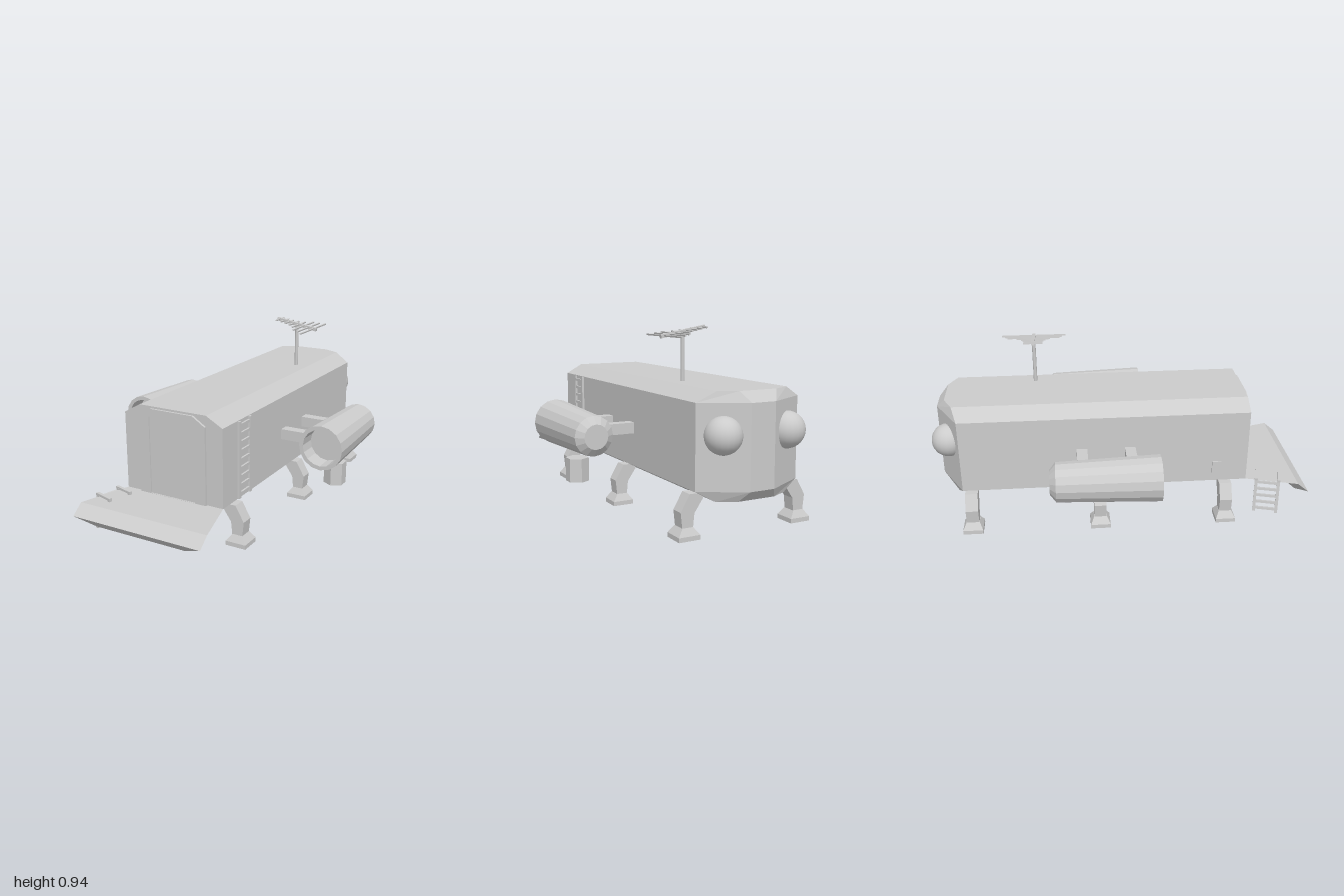
import * as THREE from 'three';

const grey = new THREE.MeshStandardMaterial({ color: 0xcccccc, flatShading: true });
const smooth = new THREE.MeshStandardMaterial({ color: 0xcccccc });

function add(parent, name, geometry, x = 0, y = 0, z = 0, material = grey) {
  const mesh = new THREE.Mesh(geometry, material);
  mesh.name = name;
  mesh.position.set(x, y, z);
  parent.add(mesh);
  return mesh;
}

const box = (w, h, d) => new THREE.BoxGeometry(w, h, d);

// Solid skinned over rings of [x, y, z] points, closed with a fan at each end
function loft(rings) {
  const pos = [];
  const tri = (a, b, c) => pos.push(...a, ...b, ...c);
  const n = rings[0].length;
  for (let r = 0; r < rings.length - 1; r++) {
    for (let i = 0; i < n; i++) {
      const j = (i + 1) % n;
      tri(rings[r][i], rings[r][j], rings[r + 1][j]);
      tri(rings[r][i], rings[r + 1][j], rings[r + 1][i]);
    }
  }
  const first = rings[0], last = rings[rings.length - 1];
  for (let i = 1; i < n - 1; i++) {
    tri(first[0], first[i + 1], first[i]);
    tri(last[0], last[i], last[i + 1]);
  }
  const g = new THREE.BufferGeometry();
  g.setAttribute('position', new THREE.Float32BufferAttribute(pos, 3));
  g.computeVertexNormals();
  return g;
}

const FRONT = 0.67;

// Plan of the hull: square front, three-sided back
function hullRing(y, side, sideZ, back, backZ) {
  return [[-side, FRONT], [side, FRONT], [side, sideZ], [back, backZ], [-back, backZ], [-side, sideZ]]
    .map(([x, z]) => [x, y, z]);
}

function rectRing(y, hx, hz) {
  return [[-hx, y, hz], [hx, y, hz], [hx, y, -hz], [-hx, y, -hz]];
}

// Four-sided section of the deck, underside narrower than the top
function deckRing(top, topY, topZ, bottom, bottomY, bottomZ) {
  return [[-bottom, bottomY, bottomZ], [bottom, bottomY, bottomZ], [top, topY, topZ], [-top, topY, topZ]];
}

function extrude(points, depth, holePoints) {
  const shape = new THREE.Shape(points.map(p => new THREE.Vector2(...p)));
  if (holePoints) shape.holes.push(new THREE.Path(holePoints.map(p => new THREE.Vector2(...p))));
  return new THREE.ExtrudeGeometry(shape, { depth, bevelEnabled: false });
}

// Ladder standing on y = 0, rungs along z
function ladder(name, width, height, rungs, t) {
  const g = new THREE.Group();
  g.name = name;
  for (const s of [-1, 1]) add(g, 'ladderRail', box(t, height, t), 0, height / 2, s * (width - t) / 2);
  for (let i = 0; i < rungs; i++) {
    add(g, 'ladderRung', box(t * 0.8, t * 0.8, width - t), 0, height * (i + 0.5) / rungs, 0);
  }
  return g;
}

export function createModel() {
  const model = new THREE.Group();
  model.name = 'cabinOnLegs';

  // Hull with chamfered roof, floor and back
  add(model, 'hull', loft([
    hullRing(0.17, 0.19, -0.88, 0.1, -0.925),
    hullRing(0.22, 0.28, -0.85, 0.065, -0.97),
    hullRing(0.62, 0.28, -0.85, 0.065, -0.97),
    hullRing(0.67, 0.19, -0.88, 0.1, -0.925),
  ]));

  // Front deck with a drooping lip
  add(model, 'frontDeck', loft([
    deckRing(0.28, 0.22, FRONT, 0.19, 0.17, FRONT),
    deckRing(0.36, 0.22, 0.94, 0.25, 0.17, 0.91),
    deckRing(0.36, 0.17, 1.0, 0.25, 0.125, 0.96),
  ]));

  // Door and its frame
  add(model, 'doorFrame', extrude(
    [[-0.19, 0.22], [0.19, 0.22], [0.19, 0.615], [0.12, 0.66], [-0.12, 0.66], [-0.19, 0.615]], 0.012,
    [[-0.13, 0.221], [-0.13, 0.62], [0.13, 0.62], [0.13, 0.221]]), 0, 0, FRONT);
  add(model, 'door', box(0.26, 0.4, 0.008), 0, 0.42, FRONT + 0.001);

  // Round bulges on the two slanted back faces
  for (const s of [-1, 1]) {
    add(model, 'backDome', new THREE.SphereGeometry(0.088, 20, 14), s * 0.173, 0.475, -0.91, smooth);
  }

  // Side pods, open at the front, on two struts each
  const podProfile = [[0, -0.275], [0.062, -0.275], [0.1, -0.245], [0.118, 0.275], [0.097, 0.275], [0.095, 0.18], [0, 0.18]]
    .map(p => new THREE.Vector2(...p));
  const podGeometry = new THREE.LatheGeometry(podProfile, 16);
  for (const s of [-1, 1]) {
    add(model, 'sidePod', podGeometry, s * 0.55, 0.415, -0.11).rotation.x = Math.PI / 2;
    for (const z of [-0.215, 0.038]) {
      add(model, 'podStrut', box(0.2, 0.056, 0.056), s * 0.37, 0.417, z);
    }
  }
  add(model, 'hexCanister', new THREE.CylinderGeometry(0.06, 0.06, 0.122, 6), 0.532, 0.2, -0.09);

  // Six bent legs on tapered feet
  const legGeometry = extrude(
    [[0.282, 0.05], [0.337, 0.05], [0.346, 0.13], [0.3, 0.21], [0.23, 0.21], [0.23, 0.185], [0.275, 0.12]], 0.066);
  legGeometry.translate(0, 0, -0.033);
  const footGeometry = loft([rectRing(0, 0.055, 0.053), rectRing(0.022, 0.055, 0.053), rectRing(0.057, 0.028, 0.035)]);
  for (const z of [0.555, -0.125, -0.805]) {
    for (const s of [-1, 1]) {
      const leg = new THREE.Group();
      leg.name = 'leg';
      leg.position.z = z;
      leg.rotation.y = s > 0 ? 0 : Math.PI;
      add(leg, 'legPost', legGeometry);
      add(leg, 'foot', footGeometry, 0.31, 0, 0);
      model.add(leg);
    }
  }

  // Ladder fixed to the left wall
  const wallLadder = ladder('wallLadder', 0.122, 0.395, 9, 0.018);
  wallLadder.position.set(0.283, 0.222, 0.472);
  model.add(wallLadder);

  // Small box on the right wall
  add(model, 'wallBox', box(0.016, 0.065, 0.05), -0.28, 0.305, 0.505);

  // Boarding ladder hooked over the deck edge
  const boarding = new THREE.Group();
  boarding.name = 'boardingLadder';
  boarding.position.set(-0.342, 0, 0.775);
  boarding.rotation.y = -0.27;
  const steps = ladder('boardingSteps', 0.135, 0.19, 5, 0.016);
  steps.position.y = 0.043;
  steps.rotation.z = -0.14;
  boarding.add(steps);
  for (const s of [-1, 1]) {
    add(boarding, 'ladderHook', box(0.11, 0.012, 0.016), 0.07, 0.231, s * 0.06);
    add(boarding, 'hookEnd', box(0.014, 0.02, 0.016), 0.118, 0.224, s * 0.06);
  }
  model.add(boarding);

  // Roof aerial: mast, sloping boom and crossbars that grow along it
  add(model, 'aerialMast', new THREE.CylinderGeometry(0.01, 0.01, 0.25, 10), 0.115, 0.785, -0.45, smooth);
  const aerial = new THREE.Group();
  aerial.name = 'aerial';
  aerial.position.set(0.115, 0.912, -0.45);
  aerial.rotation.z = -0.175;
  add(aerial, 'aerialBoom', box(0.25, 0.018, 0.018));
  [0.05, 0.05, 0.055, 0.065, 0.09, 0.14, 0.155, 0.175].forEach((half, i) => {
    add(aerial, 'aerialCrossbar', box(0.008, 0.008, half * 2), -0.112 + i * 0.031, 0, 0);
  });
  model.add(aerial);

  return model;
}
